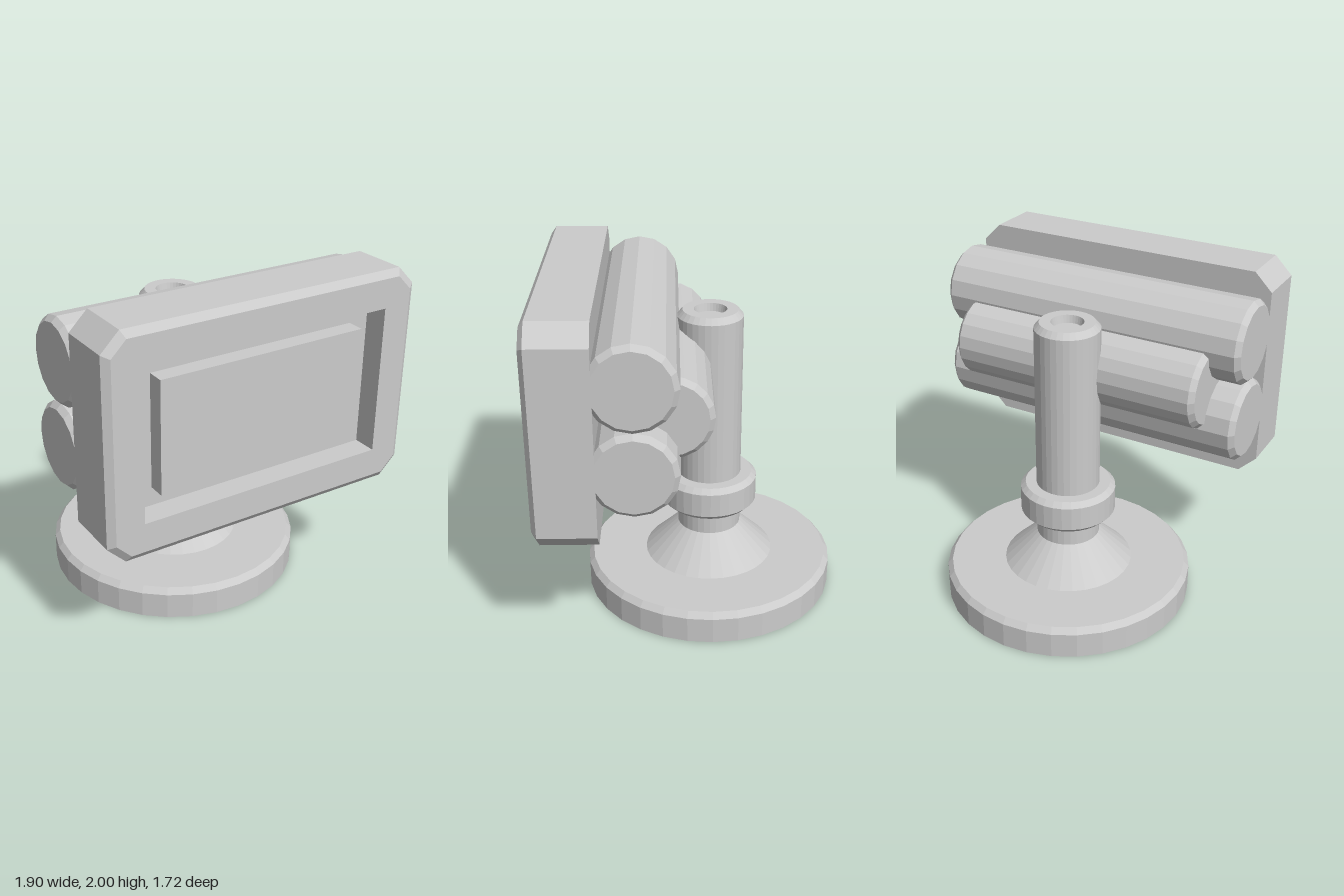
import * as THREE from 'three';

const grey = new THREE.MeshStandardMaterial({ color: 0xcccccc, flatShading: true });

function add(group, name, geometry, x = 0, y = 0, z = 0) {
  const mesh = new THREE.Mesh(geometry, grey);
  mesh.name = name;
  mesh.position.set(x, y, z);
  group.add(mesh);
  return mesh;
}

// Turned part from [radius, height] pairs, listed bottom to top
function turned(profile, sides) {
  return new THREE.LatheGeometry(profile.map(([r, y]) => new THREE.Vector2(r, y)), sides);
}

// Horizontal drum along x with bevelled ends
function drum(radius, half, sides) {
  const b = 0.03;
  return turned([
    [0, -half], [radius - b, -half], [radius, -half + b],
    [radius, half - b], [radius - b, half], [0, half],
  ], sides).rotateZ(Math.PI / 2);
}

// Eight-point rectangle with cut corners, counterclockwise from the front
function cutRect(w, h, cut, z) {
  return [
    [w, -h + cut, z], [w, h - cut, z], [w - cut, h, z], [-w + cut, h, z],
    [-w, h - cut, z], [-w, -h + cut, z], [-w + cut, -h, z], [w - cut, -h, z],
  ];
}

// Skin over successive loops of equal length
function loft(loops) {
  const n = loops[0].length;
  const index = [];
  for (let k = 0; k < loops.length - 1; k++) {
    for (let i = 0; i < n; i++) {
      const j = (i + 1) % n;
      const a = k * n + i, b = k * n + j, c = a + n, d = b + n;
      index.push(a, b, d, a, d, c);
    }
  }
  const geometry = new THREE.BufferGeometry();
  geometry.setAttribute('position', new THREE.Float32BufferAttribute(loops.flat(2), 3));
  geometry.setIndex(index);
  const flat = geometry.toNonIndexed();
  flat.computeVertexNormals();
  return flat;
}

export function createModel() {
  const model = new THREE.Group();
  model.name = 'floodlight';
  const postZ = -0.105;

  // Stand: round foot, flared neck, collar and post with a small socket on top
  const stand = new THREE.Group();
  stand.name = 'stand';
  stand.position.z = postZ;
  model.add(stand);
  add(stand, 'foot', turned([[0, 0], [0.75, 0], [0.75, 0.155], [0.72, 0.19], [0, 0.19]], 32));
  add(stand, 'post', turned([
    [0.39, 0.19], [0.19, 0.385], [0.19, 1.72], [0.16, 1.755],
    [0.095, 1.755], [0.085, 1.71], [0, 1.71],
  ], 32));
  add(stand, 'collar', turned([
    [0.18, 0.525], [0.255, 0.525], [0.285, 0.555],
    [0.285, 0.7], [0.255, 0.73], [0.18, 0.73],
  ], 32));

  // Drums joining the head to the post
  add(model, 'hingeDrum', drum(0.235, 0.775, 20), 0, 1.43, 0.125);
  for (const [name, y] of [['upperDrum', 1.67], ['lowerDrum', 1.19]]) {
    add(model, name, drum(0.242, 0.95, 16), 0, y, 0.315);
  }

  // Head: bevelled housing with a recessed window and a raised panel
  const head = new THREE.Group();
  head.name = 'head';
  head.position.y = 1.366;
  model.add(head);
  add(head, 'housing', loft([
    cutRect(0, 0, 0, 0.51),
    cutRect(0.95, 0.635, 0.105, 0.51),
    cutRect(0.95, 0.635, 0.105, 0.83),
    cutRect(0.91, 0.595, 0.085, 0.86),
    cutRect(0.745, 0.428, 0, 0.86),
    cutRect(0.745, 0.428, 0, 0.72),
    cutRect(0, 0, 0, 0.72),
  ]));
  add(head, 'panel', new THREE.BoxGeometry(1.25, 0.645, 0.12), 0, 0.002, 0.76);

  return model;
}
